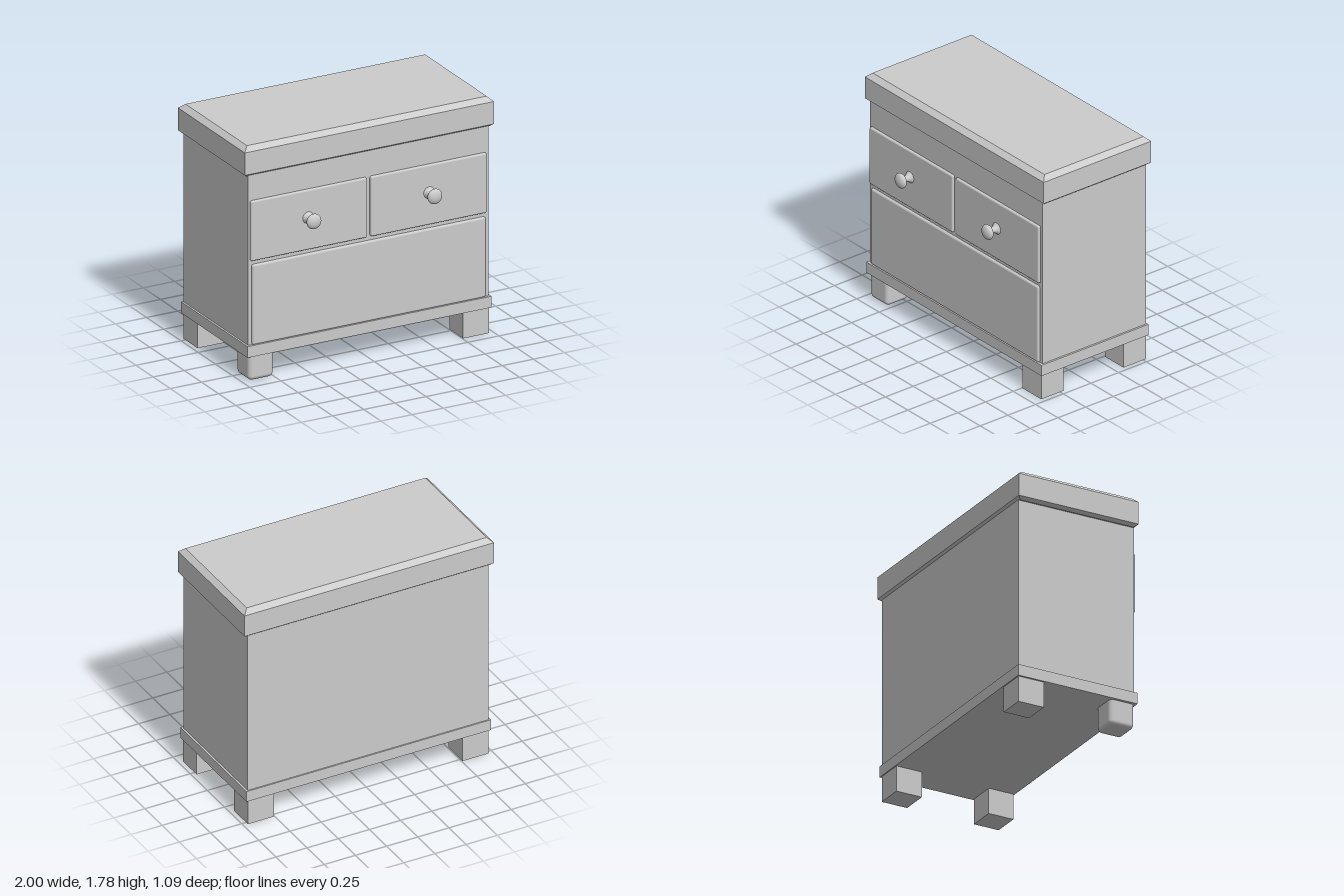
import * as THREE from 'three';
import { RoundedBoxGeometry } from 'three/addons/geometries/RoundedBoxGeometry.js';

const material = new THREE.MeshStandardMaterial({ color: 0xcccccc });

function add(parent, name, geometry) {
  const mesh = new THREE.Mesh(geometry, material);
  mesh.name = name;
  parent.add(mesh);
  return mesh;
}

// Box given by its limits on each axis; a radius rounds its edges
function block(parent, name, [x0, x1], [y0, y1], [z0, z1], radius = 0) {
  const size = [x1 - x0, y1 - y0, z1 - z0];
  const geometry = radius
    ? new RoundedBoxGeometry(...size, 4, radius)
    : new THREE.BoxGeometry(...size);
  const mesh = add(parent, name, geometry);
  mesh.position.set((x0 + x1) / 2, (y0 + y1) / 2, (z0 + z1) / 2);
  return mesh;
}

// Slab whose side profile follows rows of [y, inset], from top to bottom
function chamferedSlab(width, depth, rows) {
  const geometry = new THREE.BoxGeometry(width, 1, depth, 1, rows.length - 1, 1);
  const p = geometry.attributes.position;
  for (let i = 0; i < p.count; i++) {
    const [y, inset] = rows[Math.round((0.5 - p.getY(i)) * (rows.length - 1))];
    p.setXYZ(i,
      Math.sign(p.getX(i)) * (width / 2 - inset), y,
      Math.sign(p.getZ(i)) * (depth / 2 - inset));
  }
  const flat = geometry.toNonIndexed();
  flat.computeVertexNormals();
  return flat;
}

// Turned knob: flared foot, narrow neck, flattened round head
function knobGeometry() {
  const neck = new THREE.SplineCurve([
    [0.045, 0], [0.034, 0.012], [0.024, 0.03], [0.023, 0.045], [0.03, 0.058],
  ].map(([r, y]) => new THREE.Vector2(r, y))).getPoints(12);
  const head = [];
  for (let i = 0; i <= 14; i++) {
    const a = -1.0 + (i / 14) * (1.0 + Math.PI / 2);
    head.push(new THREE.Vector2(Math.max(0, 0.057 * Math.cos(a)), 0.084 + 0.03 * Math.sin(a)));
  }
  return new THREE.LatheGeometry([...neck, ...head], 32).rotateX(Math.PI / 2);
}

export function createModel() {
  const model = new THREE.Group();
  model.name = 'chestOfDrawers';

  // Carcass and plinth
  block(model, 'body', [-0.965, 0.965], [0.28, 1.385], [-0.525, 0.41]);
  block(model, 'upperBand', [-0.965, 0.965], [1.385, 1.57], [-0.525, 0.41]);
  block(model, 'basePlinth', [-0.98, 0.98], [0.195, 0.28], [-0.535, 0.43]);

  // Top with chamfered rims
  const top = add(model, 'top', chamferedSlab(2, 0.97,
    [[1.785, 0.038], [1.75, 0], [1.58, 0], [1.56, 0.025]]));
  top.position.z = -0.058;

  // Drawer fronts
  block(model, 'smallDrawerRight', [-0.95, -0.018], [0.918, 1.372], [0.385, 0.43], 0.012);
  block(model, 'smallDrawerLeft', [0.012, 0.944], [0.918, 1.372], [0.385, 0.43], 0.012);
  block(model, 'largeDrawer', [-0.937, 0.937], [0.28, 0.888], [0.385, 0.428], 0.016);

  // Knobs
  const knob = knobGeometry();
  for (const [name, x] of [['knobRight', -0.493], ['knobLeft', 0.478]]) {
    add(model, name, knob).position.set(x, 1.163, 0.429);
  }

  // Legs: three square, the front right one rounded
  block(model, 'frontLegLeft', [0.757, 0.965], [0, 0.2], [0.22, 0.42]);
  block(model, 'backLegLeft', [0.757, 0.965], [0, 0.2], [-0.527, -0.322]);
  block(model, 'backLegRight', [-0.965, -0.757], [0, 0.2], [-0.527, -0.322]);
  block(model, 'frontLegRight', [-0.958, -0.76], [0.006, 0.25], [0.222, 0.418], 0.034);

  return model;
}
